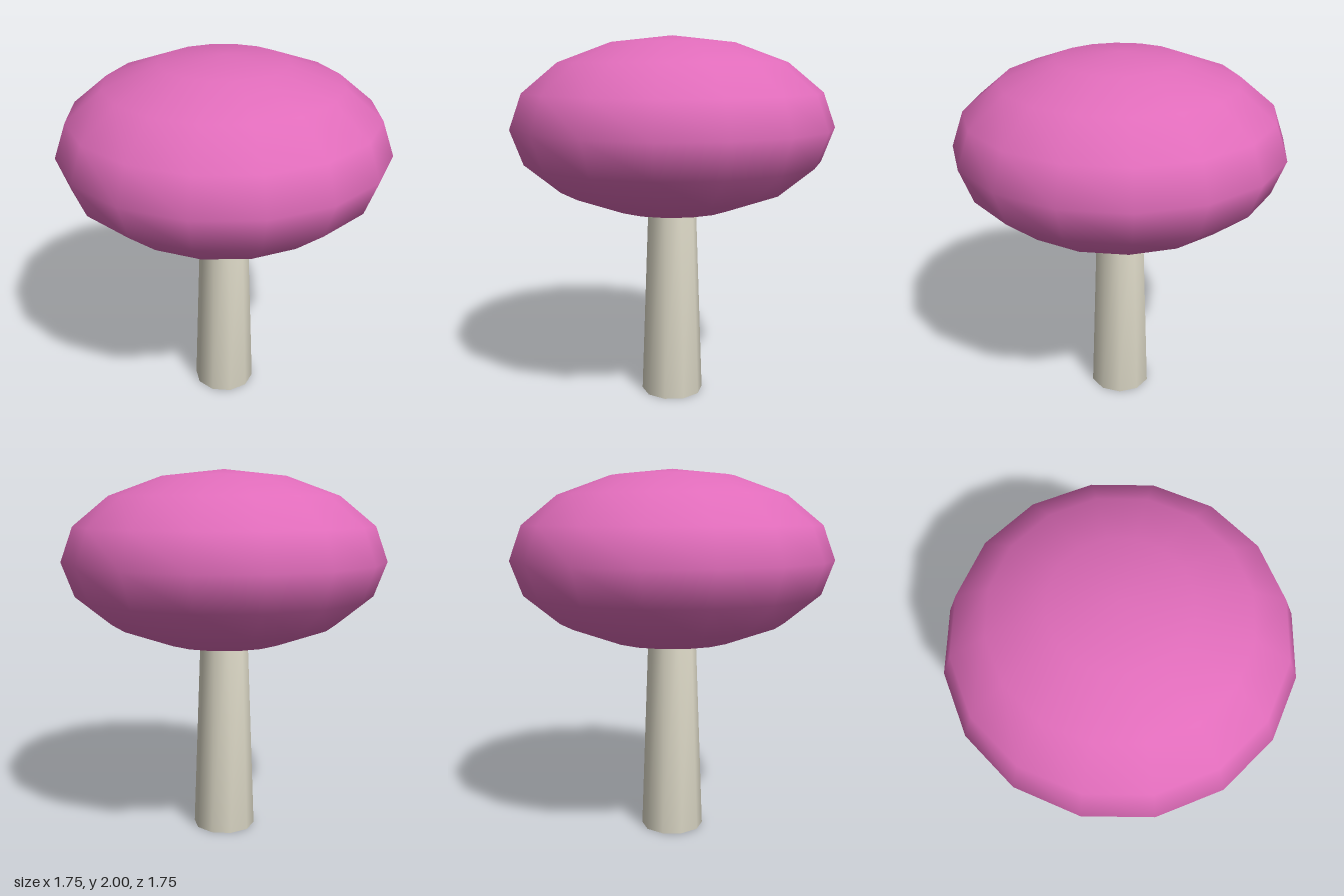
import * as THREE from 'three';
import { mergeVertices } from 'three/addons/utils/BufferGeometryUtils.js';

// Weld all corners so the shading runs smoothly over every edge
function weld(geometry) {
  geometry.deleteAttribute('normal');
  geometry.deleteAttribute('uv');
  const welded = mergeVertices(geometry, 1e-4);
  welded.computeVertexNormals();
  return welded;
}

export function createModel() {
  const group = new THREE.Group();
  group.name = 'mushroom';

  const pink = new THREE.MeshStandardMaterial({ color: 0xe06cba });
  pink.name = 'pink cap';
  const cream = new THREE.MeshStandardMaterial({ color: 0xdedac8 });
  cream.name = 'cream stem';

  // Tapered ten-sided stem, its top buried in the cap
  const stemHeight = 1.2;
  const stem = new THREE.Mesh(
    weld(new THREE.CylinderGeometry(0.128, 0.173, stemHeight, 10)), cream);
  stem.name = 'stem';
  stem.position.y = stemHeight / 2;
  group.add(stem);

  // Flattened ball for the cap
  const capShape = new THREE.SphereGeometry(1, 16, 8);
  capShape.scale(0.873, 0.48, 0.873);
  const cap = new THREE.Mesh(weld(capShape), pink);
  cap.name = 'cap';
  cap.position.y = 1.52;
  group.add(cap);

  return group;
}
